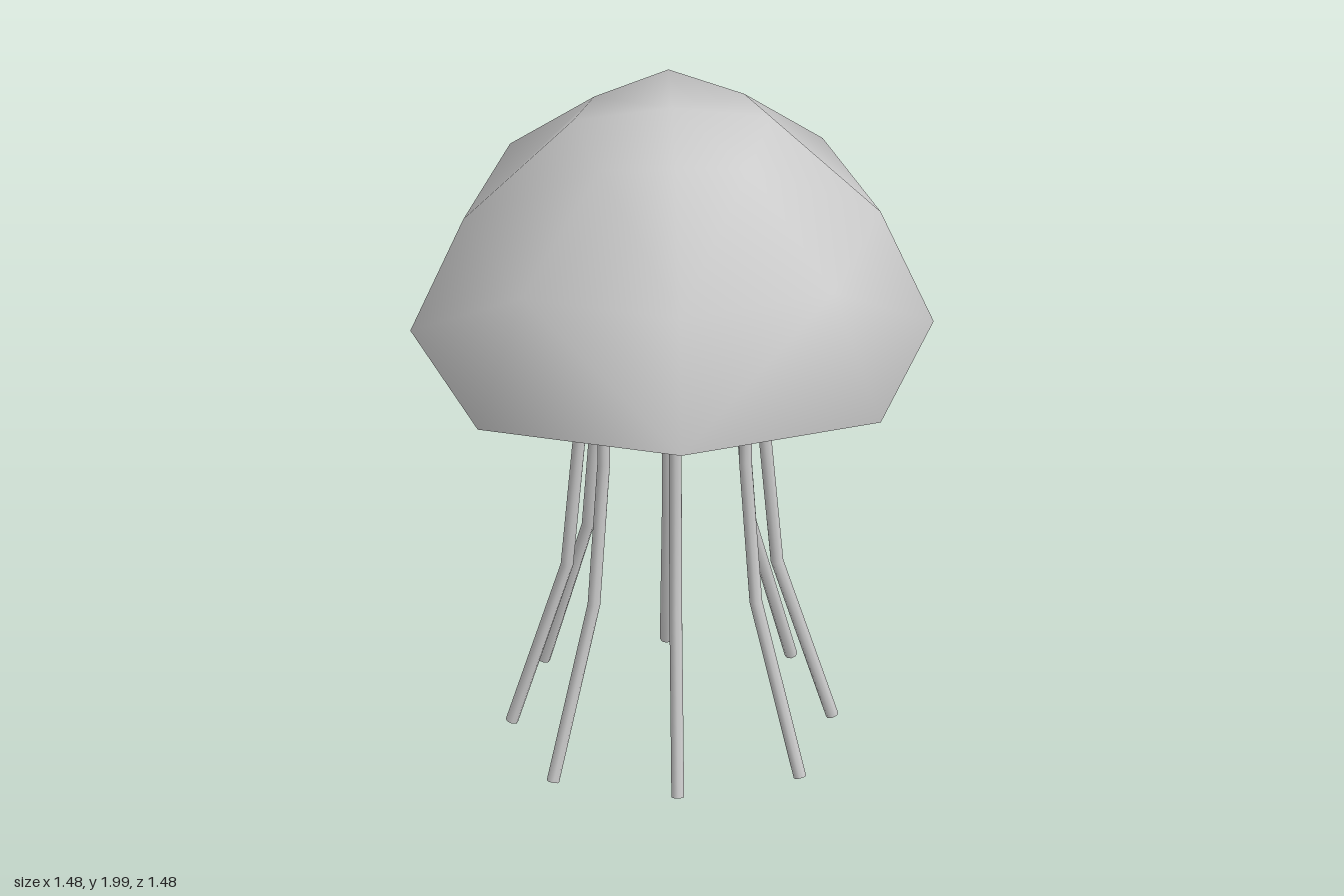
import * as THREE from 'three';

const material = new THREE.MeshStandardMaterial({ color: 0xcccccc });
const SIDES = 8;

// Rounded-square bell: each ring is [axis radius, axis y, diagonal radius, diagonal y]
const BELL_RINGS = [
  [0.28, 1.965, 0.3, 1.92],
  [0.59, 1.65, 0.625, 1.64],
  [0.74, 1.29, 0.806, 1.29],   // rim
  [0.62, 1.235, 0.672, 1.235], // lower lip
  [0.3, 1.32, 0.325, 1.32],    // hollow underside
];
const TOP_Y = 2, HOLLOW_Y = 1.35;

function bellGeometry() {
  const positions = [0, TOP_Y, 0], index = [];
  for (const [ra, ya, rd, yd] of BELL_RINGS) {
    for (let i = 0; i < SIDES; i++) {
      const a = (i / SIDES) * Math.PI * 2;
      const r = i % 2 ? rd : ra;
      positions.push(Math.sin(a) * r, i % 2 ? yd : ya, Math.cos(a) * r);
    }
  }
  positions.push(0, HOLLOW_Y, 0);
  const last = BELL_RINGS.length - 1;
  const pole = 1 + BELL_RINGS.length * SIDES;
  const at = (ring, i) => 1 + ring * SIDES + (i % SIDES);
  for (let i = 0; i < SIDES; i++) {
    index.push(0, at(0, i), at(0, i + 1));
    for (let k = 0; k < last; k++) {
      const a = at(k, i), b = at(k + 1, i), c = at(k + 1, i + 1), d = at(k, i + 1);
      // mirrored diagonals keep the bell symmetric
      if (i % 2) index.push(a, b, c, a, c, d);
      else index.push(a, b, d, b, c, d);
    }
    index.push(at(last, i), pole, at(last, i + 1));
  }
  const g = new THREE.BufferGeometry();
  g.setAttribute('position', new THREE.Float32BufferAttribute(positions, 3));
  g.setIndex(index);
  g.computeVertexNormals();
  return g;
}

// Tentacle path from top to tip: [outward distance, y, tilt]
const PATH = [
  [0.26, 1.34, 0],
  [0.26, 0.96, 0.04],
  [0.297, 0.52, 0.19],
  [0.453, 0.015, 0.295],
];

// A cylinder whose rows are moved and tilted along the path
function tentacleGeometry(spread) {
  const rows = PATH.length - 1;
  const g = new THREE.CylinderGeometry(0.018, 0.018, 1, 8, rows);
  const pos = g.attributes.position, nor = g.attributes.normal;
  const v = new THREE.Vector3(), axis = new THREE.Vector3(0, 0, 1);
  for (let i = 0; i < pos.count; i++) {
    v.fromBufferAttribute(pos, i);
    const [out, y, tilt] = PATH[Math.round((0.5 - v.y) * rows)];
    v.setY(0).applyAxisAngle(axis, tilt);
    pos.setXYZ(i, v.x + out * spread, v.y + y, v.z);
    v.fromBufferAttribute(nor, i).applyAxisAngle(axis, tilt);
    nor.setXYZ(i, v.x, v.y, v.z);
  }
  return g;
}

export function createModel() {
  const model = new THREE.Group();
  model.name = 'jellyfish';

  const bell = new THREE.Mesh(bellGeometry(), material);
  bell.name = 'bell';
  model.add(bell);

  // Eight tentacles, the diagonal ones set slightly further out
  const tentacles = new THREE.Group();
  tentacles.name = 'tentacles';
  const shapes = [tentacleGeometry(1), tentacleGeometry(1.09)];
  for (let i = 0; i < 8; i++) {
    const tentacle = new THREE.Mesh(shapes[i % 2], material);
    tentacle.name = 'tentacle' + (i + 1);
    tentacle.rotation.y = (i * Math.PI) / 4;
    tentacles.add(tentacle);
  }
  model.add(tentacles);
  return model;
}
